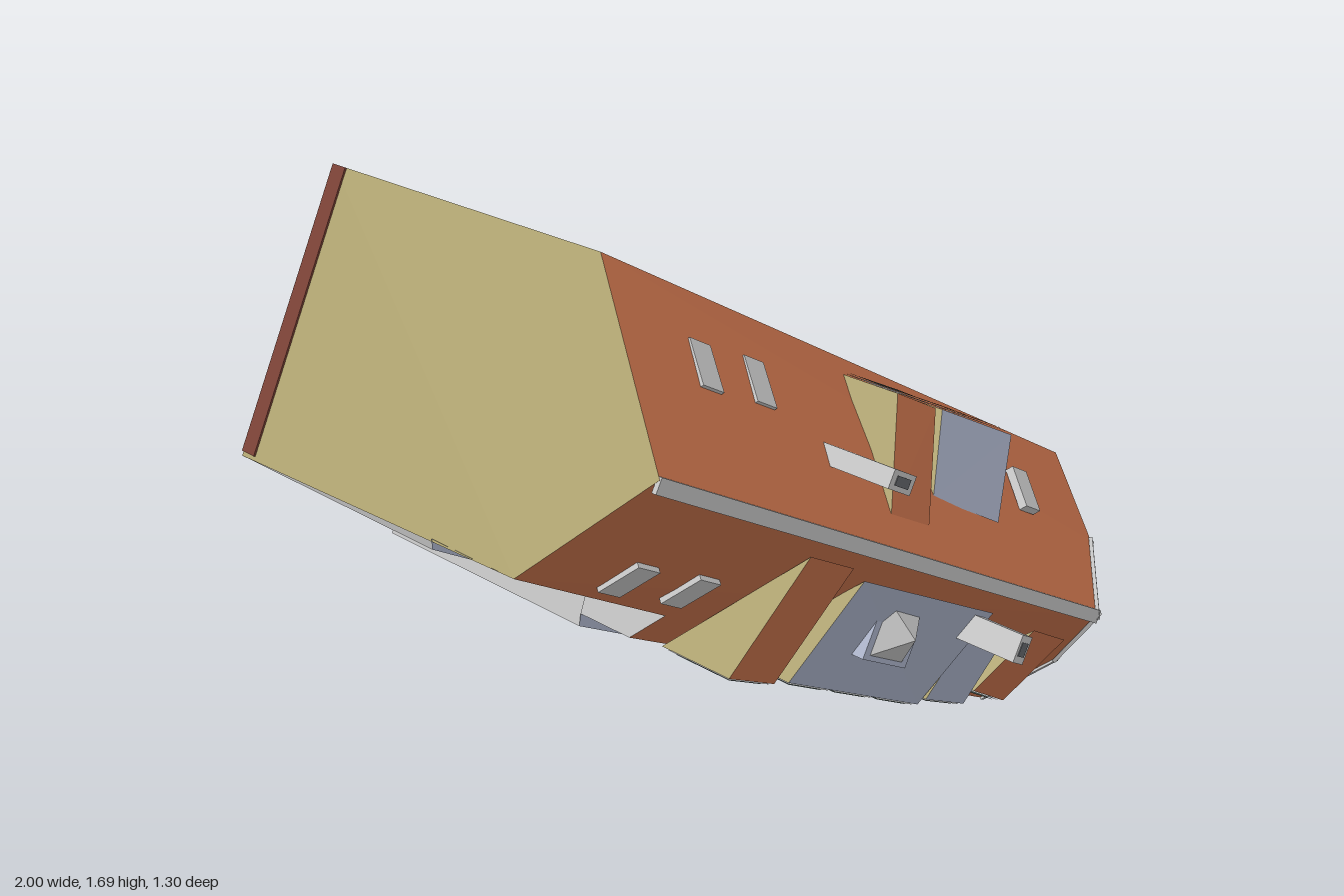
import * as THREE from 'three';

const mat = (name, color) => {
  const m = new THREE.MeshStandardMaterial({ color, side: THREE.DoubleSide, flatShading: true });
  m.name = name;
  return m;
};

export function createModel() {
  const roofRed = mat('roofRed', 0xc4704a), tan = mat('tanWall', 0xb0a470), gray = mat('lightGray', 0xc2c2c2);
  const blue = mat('blueMetal', 0xaab2c8), glass = mat('darkGlass', 0x3a4b47), brick = mat('brickBase', 0x7a4034);
  const wood = mat('orangeWood', 0xc98550), dark = mat('darkFrame', 0x62666a);
  const group = new THREE.Group();
  group.name = 'hippedBuilding';

  const add = (parent, name, geo, m) => {
    const mesh = new THREE.Mesh(geo, m);
    mesh.name = name;
    parent.add(mesh);
    return mesh;
  };
  // convex face as a triangle fan
  const face = (name, m, pts, parent = group) => {
    const v = [];
    for (let i = 1; i < pts.length - 1; i++) v.push(...pts[0], ...pts[i], ...pts[i + 1]);
    const g = new THREE.BufferGeometry();
    g.setAttribute('position', new THREE.Float32BufferAttribute(v, 3));
    g.computeVertexNormals();
    return add(parent, name, g, m);
  };
  const at = (p, z) => [p[0], p[1], z];
  const mix = (a, b, t) => a.map((v, i) => v + (b[i] - v) * t);
  // flat strip running between two points
  const beam = (name, m, a, b, w, h) => {
    const A = new THREE.Vector3(...a), B = new THREE.Vector3(...b);
    const d = B.clone().sub(A), len = d.length();
    d.normalize();
    const side = new THREE.Vector3(0, 0, 1).cross(d).normalize();
    const mesh = add(group, name, new THREE.BoxGeometry(len, w, h), m);
    mesh.quaternion.setFromRotationMatrix(new THREE.Matrix4().makeBasis(d, side, d.clone().cross(side)));
    mesh.position.copy(A.add(B).multiplyScalar(0.5));
  };

  // main corners: upper eave A-B, ridge L-R, half hip H1-H2, lower eave E
  const A = [-0.68, 1.69, 0.235], B = [0.98, 0.70, 0.21], L = [-0.86, 1.36, 0.58], R = [0.68, 0.455, 0.58];
  const H1 = [0.91, 0.52, 0.39], H2 = [0.785, 0.21, 0.39];
  const E = [[-1, 1.1, 0.3], [-0.57, 0.84, 0.285], [-0.6, 0.765, 0.2], [0.715, 0.04, 0.2]];
  const F = [[-1, 1.075], [-0.575, 0.815], [-0.605, 0.735], [0.70, 0]];
  const base = -0.645, ledge = 0.04;

  // roof slopes
  face('upperRoof', roofRed, [A, L, R, H1, B]);
  face('lowerRoof', roofRed, [R, L, ...E, H2]);
  face('halfHip', roofRed, [R, H2, H1]);

  // walls
  face('upperWall', gray, [at(A, base), A, B, at(B, base)]);
  face('leftGable', tan, [at(A, base), at(F[0], base), E[0], L, A]);
  face('rightGable', tan, [at(B, base), B, H1, H2, E[3], at(E[3], ledge), at(F[3], ledge), at(F[3], base)]);
  for (let i = 0; i < 3; i++) {
    face('lowerWall', gray, [E[i], E[i + 1], at(E[i + 1], ledge), at(E[i], ledge)]);
    face('lowerLedge', blue, [at(E[i], ledge), at(E[i + 1], ledge), at(F[i + 1], ledge), at(F[i], ledge)]);
    face('lowerBase', gray, [at(F[i], ledge), at(F[i + 1], ledge), at(F[i + 1], base), at(F[i], base)]);
  }
  beam('leftBrickBase', brick, [A[0], A[1], -0.622], [-0.995, 1.085, -0.622], 0.01, 0.046);

  // ridge, hip and eave trim
  beam('ridgeTrim', gray, [-0.865, 1.35, 0.577], [0.68, 0.452, 0.577], 0.035, 0.012);
  beam('hipTrim', gray, R, H1, 0.025, 0.01);
  beam('hipTrim', gray, R, H2, 0.025, 0.01);
  beam('vergeTrim', gray, H2, E[3], 0.015, 0.012);
  beam('gableEdge', gray, H1, H2, 0.015, 0.012);

  // roof height from the distance to the ridge
  const ridgeDist = (x, y) => Math.abs((x - L[0]) * 0.507 + (y - L[1]) * 0.862);
  const roofZ = (x, y) => 0.58 - 0.98 * ridgeDist(x, y);

  // shed dormer: a, b on the ridge side, c, d on the eave side (c beside b)
  const dormer = (name, m, a, b, c, d, top, windows) => {
    const g = new THREE.Group();
    g.name = name;
    group.add(g);
    const [ta, tb] = [a, b].map(p => at(p, roofZ(...p) + 0.006));
    const tc = at(c, top), td = at(d, top);
    const low = Math.max(0.21, roofZ(...mix(c, d, 0.5)) - 0.02);
    face('dormerRoof', m, [ta, tb, tc, td], g);
    face('dormerCheek', tan, [ta, td, at(d, low)], g);
    face('dormerCheek', tan, [tb, tc, at(c, low)], g);
    face('dormerFront', tan, [tc, td, at(d, low), at(c, low)], g);
    const out = [c[0] - b[0], c[1] - b[1]], len = Math.hypot(...out);
    const pane = (label, pm, s0, s1, z0, z1, off) => {
      const [p, q] = [s0, s1].map(s => mix(c, d, s).map((v, i) => v + out[i] / len * off));
      face(label, pm, [at(p, z0), at(q, z0), at(q, z1), at(p, z1)], g);
    };
    for (let i = 0; i < windows; i++) {
      const s0 = (i + 0.06) / windows, s1 = (i + 0.94) / windows;
      pane('windowFrame', gray, s0, s1, low + 0.01, top - 0.006, 0.004);
      pane('windowGlass', glass, s0 + 0.08 / windows, s1 - 0.08 / windows, low + 0.025, top - 0.016, 0.008);
    }
  };
  dormer('upperRedDormer', roofRed, [-0.08, 0.99], [0.06, 0.91], [0.18, 1.14], [0.04, 1.22], 0.42, 1);
  dormer('upperBlueDormer', blue, [0.15, 0.93], [0.405, 0.775], [0.53, 0.95], [0.25, 1.105], 0.385, 2);
  dormer('lowerRedDormer', roofRed, [-0.36, 0.99], [-0.22, 0.91], [-0.365, 0.635], [-0.51, 0.71], 0.42, 1);
  dormer('lowerWideDormer', blue, [-0.155, 0.845], [0.32, 0.58], [0.18, 0.335], [-0.295, 0.6], 0.40, 3);
  dormer('lowerBlueDormer', blue, [0.3, 0.55], [0.44, 0.47], [0.355, 0.265], [0.2, 0.345], 0.41, 1);
  dormer('lowerRightDormer', roofRed, [0.52, 0.445], [0.66, 0.36], [0.54, 0.19], [0.41, 0.275], 0.40, 1);

  // pyramid skylight on the wide dormer
  const curb = add(group, 'pyramidCurb', new THREE.BoxGeometry(0.18, 0.16, 0.05), blue);
  curb.position.set(0, 0.64, 0.445);
  curb.rotation.z = -0.52;
  const pyr = new THREE.ConeGeometry(0.095, 0.06, 4).rotateY(Math.PI / 4).rotateX(Math.PI / 2).rotateZ(-0.52);
  add(group, 'pyramidSkylight', pyr, gray).position.set(0, 0.64, 0.5);

  // roof windows lying on the slopes
  const u = new THREE.Vector3(0.862, -0.507, 0);
  for (const [x, y, s] of [[-0.52, 1.43, 1], [-0.35, 1.34, 1], [0.63, 0.755, 1], [-0.75, 1.03, -1], [-0.58, 0.94, -1]]) {
    const v = new THREE.Vector3(0.507, 0.862, -s * 0.98).normalize();
    const mesh = add(group, 'roofWindow', new THREE.BoxGeometry(0.07, 0.115, 0.022), gray);
    mesh.quaternion.setFromRotationMatrix(new THREE.Matrix4().makeBasis(u, v, u.clone().cross(v)));
    mesh.position.set(x, y, roofZ(x, y) + 0.008);
  }
  // chimneys
  for (const [x, y, z0, z1, w, d] of [[-0.185, 1.14, 0.42, 0.625, 0.085, 0.045], [0.26, 0.555, 0.4, 0.65, 0.045, 0.07]]) {
    const c = add(group, 'chimney', new THREE.BoxGeometry(w, d, z1 - z0), gray);
    c.position.set(x, y, (z0 + z1) / 2);
    c.rotation.z = -0.53;
    const cap = add(c, 'chimneyOpening', new THREE.BoxGeometry(w * 0.6, d * 0.5, 0.004), dark);
    cap.position.z = (z1 - z0) / 2;
  }

  // right facade: local x runs along the wall, -y points outwards
  const facade = new THREE.Group();
  facade.name = 'rightFacade';
  facade.position.set(0.70, 0.01, 0);
  facade.rotation.z = Math.atan2(0.69, 0.28);
  group.add(facade);
  const panel = (name, m, y0, y1, z0, z1, out) => {
    const t0 = (y0 - 0.01) / 0.9266, t1 = (y1 - 0.01) / 0.9266;
    const mesh = add(facade, name, new THREE.BoxGeometry(t1 - t0, out, z1 - z0), m);
    mesh.position.set((t0 + t1) / 2, -out / 2, (z0 + z1) / 2);
  };
  const window = (y0, y1, z0, z1, m, frame) => {
    panel('windowFrame', frame, y0 - 0.01, y1 + 0.01, z0 - 0.01, z1 + 0.01, 0.004);
    panel('windowPane', m, y0, y1, z0, z1, 0.008);
  };
  panel('facadeBand', gray, 0.005, 0.695, -0.34, -0.285, 0.008);
  panel('brickBase', brick, 0.005, 0.695, base, -0.59, 0.006);
  for (const [y0, y1] of [[0.11, 0.19], [0.335, 0.41], [0.55, 0.625]]) {
    window(y0, y1, -0.28, -0.11, glass, gray);
    window(y0, y1, -0.01, 0.155, gray, dark);
    panel('windowLintel', dark, y0 - 0.03, y1 + 0.015, 0.183, 0.192, 0.015);
    panel('windowLintel', dark, y0 - 0.03, y1 + 0.015, -0.084, -0.075, 0.015);
    panel('blindBox', gray, y0 - 0.015, y1 + 0.01, -0.105, -0.085, 0.01);
  }
  window(0.42, 0.51, 0.255, 0.365, glass, gray);
  window(0.265, 0.33, 0.255, 0.365, glass, gray);
  window(0.12, 0.18, -0.61, -0.405, glass, gray);
  panel('cellarBox', glass, 0.07, 0.22, base, -0.62, 0.025);

  // entrance porch with a sloping canopy
  panel('porch', gray, 0.30, 0.625, base, -0.44, 0.028);
  panel('porchSide', dark, 0.625, 0.66, base, -0.43, 0.022);
  const canopy = new THREE.Shape([[0, -0.385], [0.048, -0.43], [0.048, -0.45], [0, -0.45]].map(p => new THREE.Vector2(...p)));
  const cg = new THREE.ExtrudeGeometry(canopy, { depth: 0.4, bevelEnabled: false });
  // shape x -> outwards (-y), shape y -> z, depth -> along the wall
  cg.applyMatrix4(new THREE.Matrix4().makeBasis(new THREE.Vector3(0, -1, 0), new THREE.Vector3(0, 0, 1), new THREE.Vector3(-1, 0, 0)));
  add(facade, 'canopy', cg, wood).position.x = 0.69;
  return group;
}
